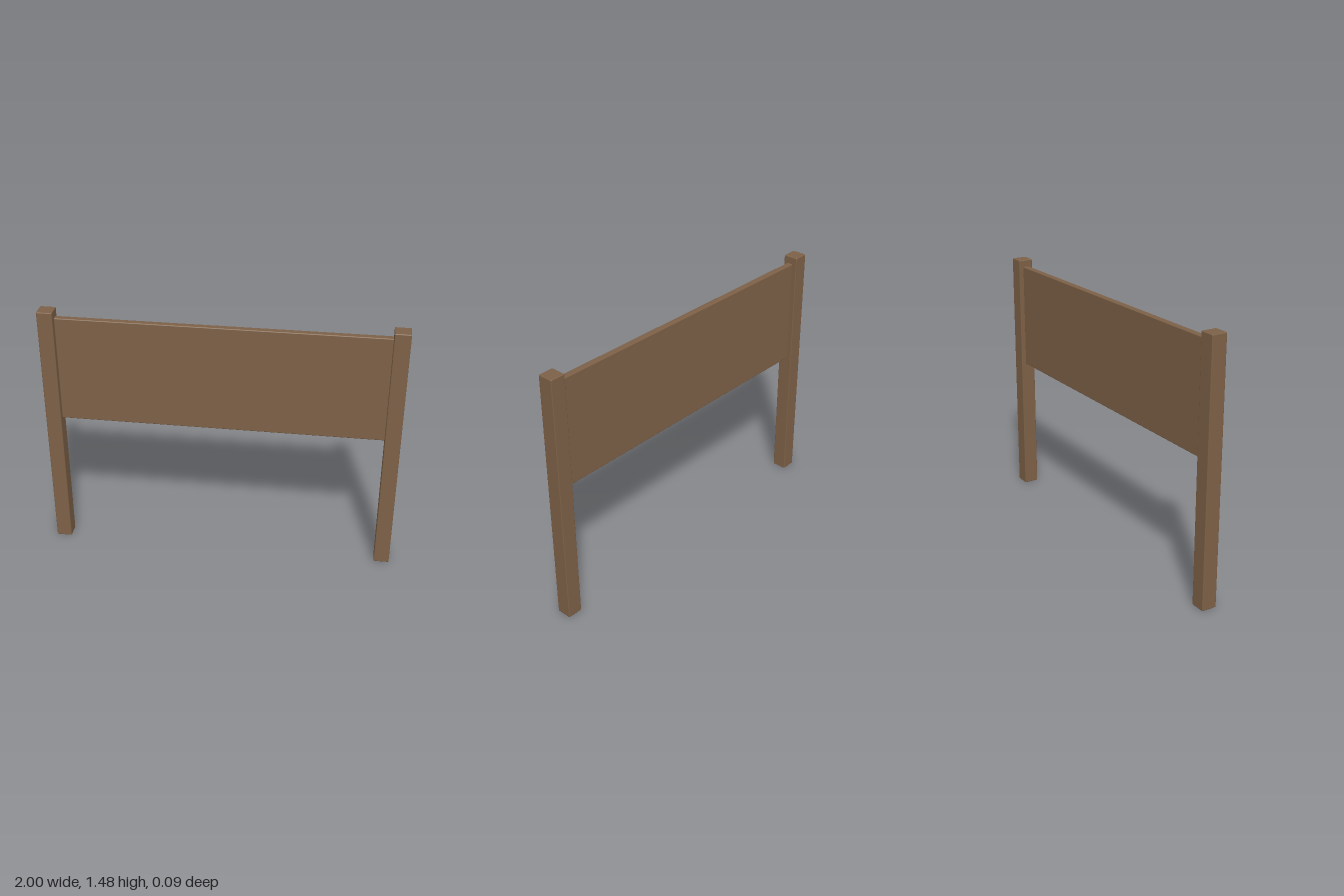
import * as THREE from 'three';
import { RoundedBoxGeometry } from 'three/addons/geometries/RoundedBoxGeometry.js';

export function createModel() {
  const group = new THREE.Group();
  group.name = 'signboard';

  const wood = new THREE.MeshStandardMaterial({ color: 0x7d6147 });
  wood.name = 'brown wood';

  // Box with slightly softened edges, standing on the given base height
  const addBoard = (name, width, height, depth, x, base) => {
    const mesh = new THREE.Mesh(new RoundedBoxGeometry(width, height, depth, 2, 0.005), wood);
    mesh.name = name;
    mesh.position.set(x, base + height / 2, 0);
    group.add(mesh);
  };

  const postWidth = 0.088;
  const postX = 1 - postWidth / 2;

  // Square posts on both sides
  addBoard('leftPost', postWidth, 1.476, postWidth, postX, 0);
  addBoard('rightPost', postWidth, 1.476, postWidth, -postX, 0);

  // Plain panel held between the posts
  addBoard('panel', 2 - 2 * postWidth, 0.62, 0.037, 0, 0.815);

  return group;
}
